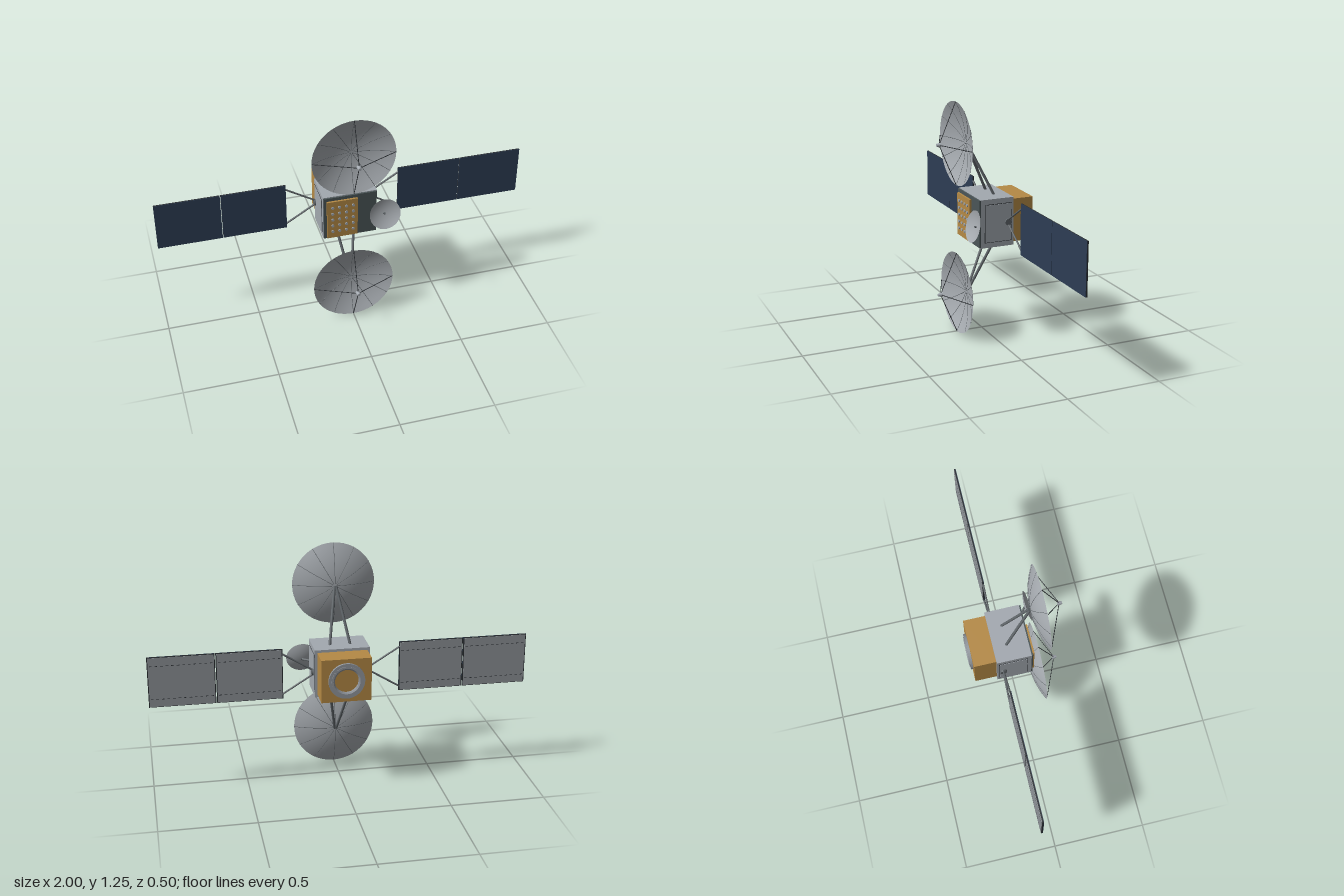
import * as THREE from 'three';

const mat = (name, color, side = THREE.FrontSide) => {
  const m = new THREE.MeshStandardMaterial({ color, side });
  m.name = name;
  return m;
};

export function createModel() {
  const model = new THREE.Group();
  model.name = 'satellite';
  const grey = mat('body grey', 0xa3a9b0);
  const dishGrey = mat('dish grey', 0xa6abb0, THREE.DoubleSide);
  const gold = mat('gold foil', 0xb58a45);
  const slate = mat('dark slate', 0x4b5658);
  const strutGrey = mat('strut grey', 0x61676b);
  const navy = mat('solar navy', 0x2d3d54);
  const backGrey = mat('panel back grey', 0x8e9398);
  const black = mat('trim black', 0x2a2e32);

  const V = (x, y, z) => new THREE.Vector3(x, y, z);
  const add = (parent, name, geo, material, x = 0, y = 0, z = 0) => {
    const mesh = new THREE.Mesh(geo, material);
    mesh.name = name;
    mesh.position.set(x, y, z);
    parent.add(mesh);
    return mesh;
  };
  const box = (parent, name, material, w, h, d, x, y, z) =>
    add(parent, name, new THREE.BoxGeometry(w, h, d), material, x, y, z);
  const rod = (parent, name, material, a, b, r) => {
    const mesh = add(parent, name, new THREE.CylinderGeometry(r, r, a.distanceTo(b), 8), material);
    mesh.position.copy(a).add(b).multiplyScalar(0.5);
    mesh.quaternion.setFromUnitVectors(V(0, 1, 0), b.clone().sub(a).normalize());
    return mesh;
  };
  const CY = 0.63;

  // Parabolic bowl opening toward +z, apex at its origin
  const bowl = (radius, depth) => {
    const points = [];
    for (let i = 0; i <= 10; i++) points.push(new THREE.Vector2(radius * i / 10, depth * (i / 10) ** 2));
    return new THREE.LatheGeometry(points, 48).rotateX(Math.PI / 2);
  };

  // Main bus and foil-wrapped rear section
  const bus = new THREE.Group();
  bus.name = 'bus';
  model.add(bus);
  box(bus, 'mainBody', grey, 0.29, 0.26, 0.185, 0, CY, -0.0255);
  box(bus, 'frontPlate', slate, 0.286, 0.254, 0.01, 0, CY, 0.07);
  box(bus, 'rearFoilBlock', gold, 0.262, 0.232, 0.118, 0, CY, -0.176);

  // Stepped docking ring on the rear face
  const ringProfile = [[0.062, 0], [0.062, 0.01], [0.07, 0.015], [0.08, 0.015],
    [0.08, 0.012], [0.095, 0.012], [0.095, 0]].map(p => new THREE.Vector2(...p)).reverse();
  const ringGeo = new THREE.LatheGeometry(ringProfile, 40).toNonIndexed();
  ringGeo.computeVertexNormals();
  ringGeo.rotateX(-Math.PI / 2);
  const ringMat = mat('ring grey', 0x9499a0, THREE.DoubleSide);
  add(bus, 'rearRing', ringGeo, ringMat, 0, CY, -0.235);

  // Foil antenna panel with a grid of small elements
  box(bus, 'frontFoilPanel', gold, 0.165, 0.23, 0.012, -0.045, CY - 0.006, 0.08);
  const knobGeo = new THREE.CylinderGeometry(0.008, 0.008, 0.006, 12).rotateX(Math.PI / 2);
  for (let c = 0; c < 4; c++) {
    for (let r = 0; r < 5; r++) {
      add(bus, 'antennaElement', knobGeo, grey, -0.0985 + c * 0.037, CY - 0.08 + r * 0.038, 0.088);
    }
  }

  // Side covers, hinge hubs and solar wings
  for (const s of [-1, 1]) {
    const wing = new THREE.Group();
    wing.name = s > 0 ? 'leftWing' : 'rightWing';
    model.add(wing);
    box(wing, 'sideCoverTrim', black, 0.002, 0.206, 0.152, s * 0.1455, CY, -0.03);
    box(wing, 'sideCover', grey, 0.004, 0.2, 0.146, s * 0.1465, CY, -0.03);
    add(wing, 'hingeHub', new THREE.CylinderGeometry(0.018, 0.018, 0.014, 20).rotateZ(Math.PI / 2),
      strutGrey, s * 0.151, CY, -0.085);
    for (const v of [-1, 1]) {
      rod(wing, 'wingStrut', strutGrey, V(s * 0.15, CY + v * 0.012, -0.086),
        V(s * 0.312, CY + v * 0.112, -0.086), 0.005);
    }
    for (const x of [0.48, 0.828]) {
      const px = s * x;
      box(wing, 'panelFrame', black, 0.344, 0.272, 0.007, px, CY + 0.002, -0.0865);
      box(wing, 'solarCells', navy, 0.344, 0.272, 0.002, px, CY + 0.002, -0.082);
      box(wing, 'panelBack', backGrey, 0.335, 0.266, 0.002, px, CY + 0.002, -0.091);
      // Dashed seams on the back
      for (const v of [-1, 1]) {
        for (let i = 0; i < 12; i++) {
          box(wing, 'backSeam', black, 0.014, 0.003, 0.001, px - 0.154 + i * 0.028, CY + v * 0.09, -0.0922);
        }
      }
    }
  }

  // Upper and lower large dishes with ribs, feed and support legs
  for (const s of [1, -1]) {
    const dish = new THREE.Group();
    dish.name = s > 0 ? 'upperDish' : 'lowerDish';
    dish.position.set(0, CY + s * 0.406, 0.09);
    model.add(dish);
    const R = 0.22, D = 0.055;
    add(dish, 'reflector', bowl(R, D), dishGrey);
    for (let i = 0; i < 12; i++) {
      const a = i * Math.PI / 6, cx = Math.cos(a), cy = Math.sin(a);
      const points = [0.05, 0.3, 0.55, 0.8, 1].map(t => V(cx * R * t, cy * R * t, D * t * t));
      add(dish, 'rib', new THREE.TubeGeometry(new THREE.CatmullRomCurve3(points), 12, 0.0014, 5), strutGrey);
      if (i % 3 === 0) {
        rod(dish, 'feedStrut', black, V(cx * R * 0.995, cy * R * 0.995, D), V(0, 0, 0.148), 0.002);
      }
    }
    add(dish, 'feedHorn', new THREE.CylinderGeometry(0.008, 0.013, 0.022, 12).rotateX(Math.PI / 2),
      grey, 0, 0, 0.151);
    for (const x of [-1, 1]) {
      rod(model, 'dishLeg', strutGrey, V(x * 0.055, CY + s * 0.12, -0.05),
        V(x * 0.004, CY + s * 0.406, 0.086), 0.0075);
    }
  }

  // Small tilted dish on a short arm
  const small = new THREE.Group();
  small.name = 'smallDish';
  small.position.set(0.176, CY + 0.002, 0.108);
  small.rotation.x = -0.25;
  model.add(small);
  add(small, 'smallReflector', bowl(0.084, 0.018), dishGrey);
  add(small, 'smallFeed', new THREE.CylinderGeometry(0.004, 0.006, 0.012, 10).rotateX(Math.PI / 2),
    strutGrey, 0, 0, 0.005);
  rod(model, 'smallDishArm', strutGrey, V(0.115, CY, 0.065), V(0.176, CY + 0.002, 0.107), 0.006);

  return model;
}
